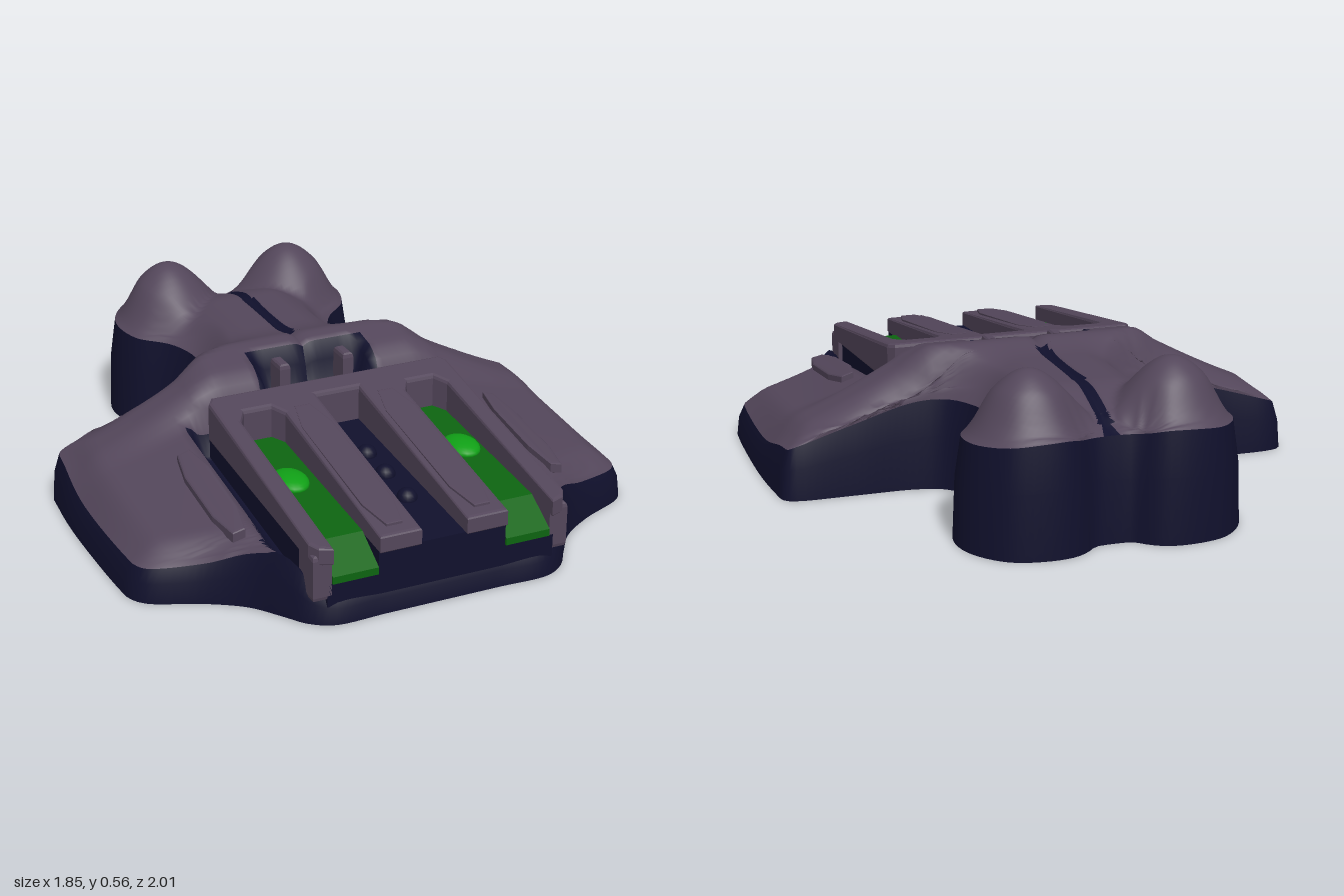
import * as THREE from 'three';

const mat = (name, color) => {
  const m = new THREE.MeshStandardMaterial({ color });
  m.name = name;
  return m;
};
const { smoothstep, lerp } = THREE.MathUtils;

// piecewise linear lookup in [[z, value], ...]
function ramp(table, z) {
  if (z <= table[0][0]) return table[0][1];
  for (let i = 1; i < table.length; i++) {
    const [a, va] = table[i - 1], [b, vb] = table[i];
    if (z <= b) return lerp(va, vb, (z - a) / (b - a));
  }
  return table[table.length - 1][1];
}

// half outline of the hull: x, rim height, z, from the rear notch to the nose
const OUTLINE = [
  [0, .35, -.92], [.06, .35, -.925], [.1, .36, -.96], [.15, .37, -.99], [.24, .37, -1],
  [.36, .36, -.97], [.45, .35, -.87], [.475, .345, -.76], [.44, .335, -.64], [.34, .33, -.54],
  [.3, .32, -.45], [.31, .31, -.33], [.36, .31, -.26], [.45, .3, -.23], [.66, .24, -.225],
  [.86, .18, -.22], [.9, .17, -.2], [.915, .16, -.1], [.925, .12, .1], [.915, .11, .5],
  [.905, .11, .58], [.87, .11, .63], [.7, .13, .71], [.58, .18, .79], [.51, .2, .88],
  [.45, .12, .96], [.38, .09, 1], [.2, .09, 1], [0, .09, 1],
];
const CREST = [[-.3, .45], [-.15, .478], [0, .445], [.05, .4], [.08, .3], [.11, .2], [1, .1]];
const WING_ROOT = [[-.2, .41], [0, .41], [.1, .33], [.8, .22], [1, .15]];
const WING_TIP = [[0, .2], [.5, .16], [1, .12]];

// height of the hull's upper skin away from its rim
function skin(px, z) {
  const x = Math.abs(px);
  // neck with two rear domes
  let neck = lerp(.45, .38, smoothstep(x, .1, .3)) - .08 * smoothstep(-z, .6, .92);
  const r = Math.hypot(x - .24, z + .78);
  const dome = .35 + .21 * (Math.cos(Math.PI * Math.min(1, r / .29)) + 1) / 2;
  neck = Math.max(neck, dome);
  // body with wings and a cavity behind the deck
  let crest = ramp(CREST, z);
  const cavity = (1 - smoothstep(x, .16, .22)) * smoothstep(z, -.08, -.04);
  crest = lerp(crest, Math.min(crest, .3), cavity);
  const t = THREE.MathUtils.clamp((x - .45) / .45, 0, 1);
  const tip = ramp(WING_TIP, z);
  const wing = tip + (ramp(WING_ROOT, z) - tip) * Math.pow(1 - t, 1.2);
  const body = lerp(crest, wing, z > .08 ? smoothstep(x, .46, .52) : smoothstep(x, .36, .48));
  return lerp(neck, body, smoothstep(z, -.35, -.15)) - .015 * (1 - smoothstep(x, 0, .03));
}

// dark bands on the upper skin
function isDark(px, z) {
  const x = Math.abs(px);
  return (z > .09 && x < .51) || (x < .22 && z > -.08 && z < .1) || (x < .022 && z < -.2);
}

// deck surfaces slope down to the nose
const deckTop = (x, z) => .405 - .155 * (z - .1);
const deckFloor = (x, z) => .285 - .075 * (z - .1);

// plate cut from an x/z outline, filled between two height functions
function plate(points, low, high, bevel = 0) {
  const shape = new THREE.Shape(points.map(([x, z]) => new THREE.Vector2(x, -z)));
  const geo = new THREE.ExtrudeGeometry(shape, {
    depth: 1, bevelEnabled: bevel > 0, bevelSegments: 2,
    bevelSize: bevel, bevelOffset: -bevel, bevelThickness: .12,
  });
  geo.rotateX(-Math.PI / 2);
  const p = geo.attributes.position;
  for (let i = 0; i < p.count; i++) {
    const x = p.getX(i), z = p.getZ(i);
    p.setY(i, lerp(low(x, z), high(x, z), p.getY(i)));
  }
  geo.computeVertexNormals();
  return geo;
}
const rect = (x0, x1, z0, z1) => [[x0, z0], [x1, z0], [x1, z1], [x0, z1]];
const hex = (x, w, z0, z1) => [
  [x - w / 4, z0], [x + w / 4, z0], [x + w / 2, z0 + .12], [x + w / 2, z1 - .12],
  [x + w / 4, z1], [x - w / 4, z1], [x - w / 2, z1 - .12], [x - w / 2, z0 + .12],
];

export function createModel() {
  const purple = mat('dusky purple', 0x53465a);
  const navy = mat('dark navy', 0x10102c);
  const green = mat('deep green', 0x0d6410);
  const bright = mat('bright green', 0x10a016);
  const root = new THREE.Group();
  const add = (name, geo, material) => {
    const m = new THREE.Mesh(geo, material);
    m.name = name;
    root.add(m);
    return m;
  };

  // closed outline loop and its inset rim
  const curve = new THREE.CatmullRomCurve3(OUTLINE.map(p => new THREE.Vector3(...p)), false, 'centripetal');
  const half = curve.getSpacedPoints(140);
  const mirrored = half.slice(1, -1).reverse().map(p => new THREE.Vector3(-p.x, p.y, p.z));
  const loop = [...half, ...mirrored];
  const n = loop.length;
  const inset = (i, d) => {
    const p = loop[i], a = loop[(i + n - 1) % n], b = loop[(i + 1) % n];
    const tx = b.x - a.x, tz = b.z - a.z, l = Math.hypot(tx, tz);
    return new THREE.Vector3(p.x - d * tz / l, p.y, p.z + d * tx / l);
  };
  const rim = loop.map((_, i) => inset(i, .028));

  // grid of rings joined into one indexed surface
  function rings(list, dark) {
    const geo = new THREE.BufferGeometry().setFromPoints(list.flat());
    const groups = [[], []];
    for (let l = 0; l < list.length - 1; l++) for (let i = 0; i < n; i++) {
      const j = (i + 1) % n, a = l * n + i, b = a + n, c = l * n + j, d = c + n;
      const m = list[l][i].clone().add(list[l + 1][j]).multiplyScalar(.5);
      groups[dark(m.x, m.z) ? 1 : 0].push(a, b, c, c, b, d);
    }
    geo.setIndex([...groups[0], ...groups[1]]);
    geo.addGroup(0, groups[0].length, 0);
    geo.addGroup(groups[0].length, groups[1].length, 1);
    geo.computeVertexNormals();
    return geo;
  }

  // hull side wall and underside
  const base = loop.map(p => new THREE.Vector3(p.x, 0, p.z));
  const mid = loop.map((p, i) => inset(i, .008).setY(p.y * .6));
  add('hullWall', rings([base, mid, rim], () => true), [navy, navy]);
  const floor = new THREE.ShapeGeometry(new THREE.Shape(loop.map(p => new THREE.Vector2(p.x, p.z))));
  add('underside', floor.rotateX(Math.PI / 2), navy);

  // hull upper skin, running from the rim to a centre spine
  const STEPS = 40, skinRings = [rim];
  for (let k = 1; k <= STEPS; k++) {
    skinRings.push(rim.map(p => {
      const spineZ = THREE.MathUtils.clamp(p.z, -.78, .9);
      const x = lerp(p.x, 0, k / STEPS), z = lerp(p.z, spineZ, k / STEPS);
      let best = Infinity, edge = 0;
      for (const q of rim) {
        const d = (q.x - x) ** 2 + (q.z - z) ** 2;
        if (d < best) { best = d; edge = q.y; }
      }
      const ease = Math.sin(Math.PI / 2 * Math.min(1, Math.sqrt(best) / .1));
      return new THREE.Vector3(x, lerp(edge, skin(x, z), ease), z);
    }));
  }
  add('hullSkin', rings(skinRings, isDark), [purple, navy]);

  // slotted top deck
  const side = [
    [.43, .11], [.45, .14], [.45, .95], [.43, .985], [.385, 1], [.385, .27], [.355, .22],
    [.255, .22], [.225, .27], [.225, .995], [.08, .995], [.08, .2],
  ];
  const deck = [...side, ...side.map(([x, z]) => [-x, z]).reverse()];
  add('deck', plate(deck, deckFloor, deckTop, .012), purple);

  // dark structure below the deck
  add('deckCore', plate(rect(-.44, .44, .12, .86), () => .08, deckFloor), navy);
  add('noseCore', plate(rect(-.4, .4, .84, .985), () => .06, () => .14), navy);
  add('nosePillar', plate(rect(-.224, .224, .85, .985), () => .1, deckFloor), navy);
  for (const z of [.43, .57, .73]) {
    const stud = add('channelStud', new THREE.SphereGeometry(.035, 16, 10), navy);
    stud.position.set(0, deckFloor(0, z), z);
  }

  for (const s of [-1, 1]) {
    // nose cheek
    const cheek = rect(.385, .45, .88, .985).map(([x, z]) => [s * x, z]);
    add('noseCheek', plate(cheek, () => .1, (x, z) => deckFloor(x, z) + .01, .01), purple);

    // green slot bed with a sloping front lip
    const profile = new THREE.Shape([[-.22, .15], [-.99, .14], [-.99, .165], [-.87, .235], [-.22, .283]]
      .map(p => new THREE.Vector2(...p)));
    const bed = new THREE.ExtrudeGeometry(profile, { depth: .158, bevelEnabled: false });
    bed.rotateY(Math.PI / 2).translate(s * .305 - .079, 0, 0);
    add('slotBed', bed, green);

    // bright dome in the slot
    const lamp = add('slotDome', new THREE.SphereGeometry(.06, 20, 12), bright);
    lamp.scale.set(1, .5, 1.35);
    lamp.position.set(s * .315, .262, .51);

    // raised ribs on deck and wing
    add('deckRib', plate(hex(s * .155, .11, .25, .95), deckTop, (x, z) => deckTop(x, z) + .014, .012), purple);
    add('wingRib', plate(hex(s * .575, .085, .22, .7), (x, z) => skin(x, z) - .01,
      (x, z) => skin(x, z) + .02, .012), purple);

    // posts in the cavity
    add('cavityPost', plate(rect(s * .12 - .02, s * .12 + .02, -.05, .03), () => .28, () => .43, .008), purple);
  }
  return root;
}
